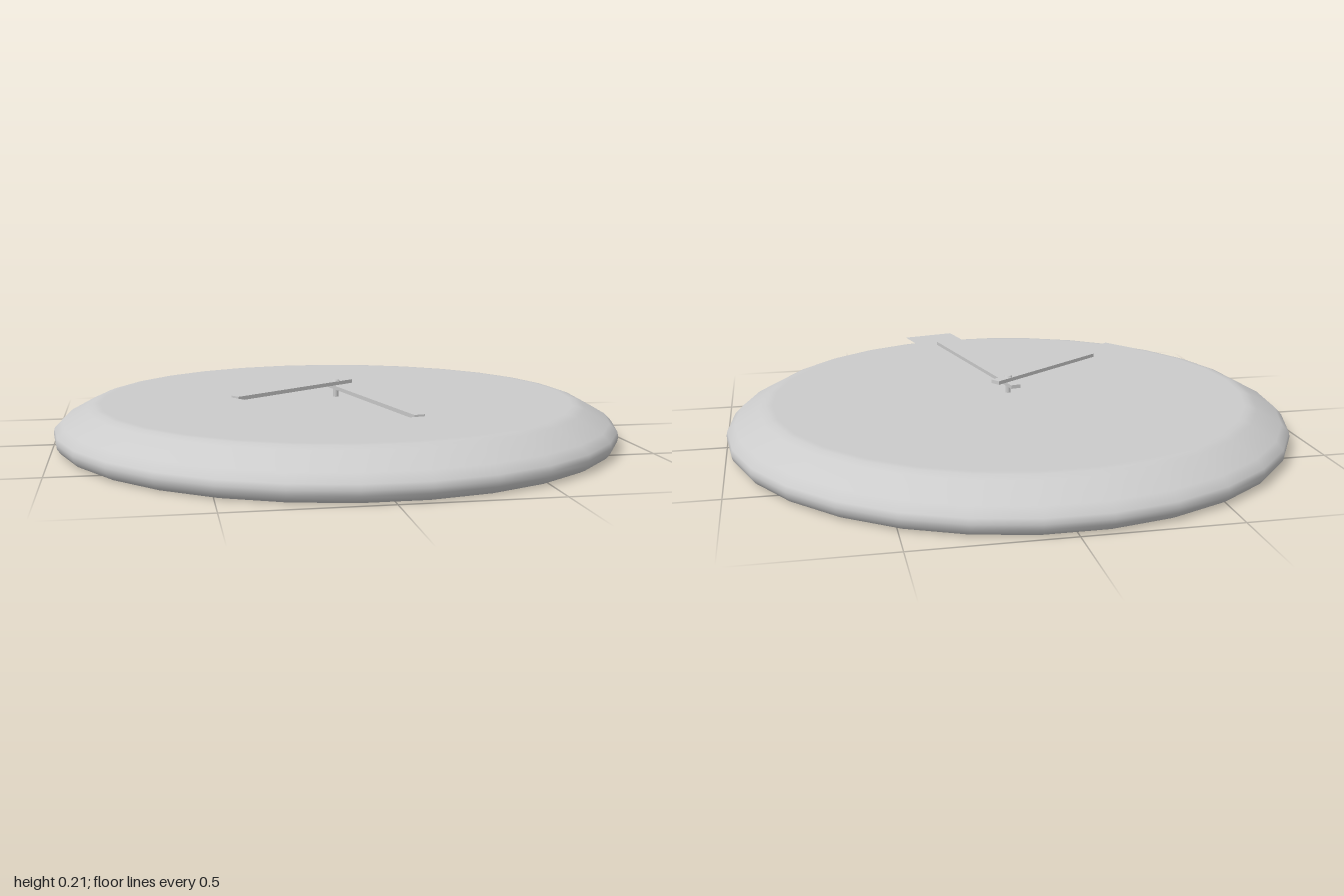
import * as THREE from 'three';

const grey = new THREE.MeshStandardMaterial({ color: 0xcccccc });
const thin = new THREE.MeshStandardMaterial({ color: 0xcccccc, side: THREE.DoubleSide });
const SIDES = 30;

function add(parent, name, geometry, material = grey) {
  const mesh = new THREE.Mesh(geometry, material);
  mesh.name = name;
  parent.add(mesh);
  return mesh;
}

// Straight bar with a flat rectangular paddle, pointing along local +z
function makeHand(name, { dirX, dirZ, y, reach, paddleWidth, paddleLength }) {
  const hand = new THREE.Group();
  hand.name = name;
  const tail = 0.068;
  const bar = add(hand, name + 'Bar', new THREE.BoxGeometry(0.036, 0.013, reach + tail));
  bar.position.z = (reach - tail) / 2;
  const paddle = add(hand, name + 'Paddle',
    new THREE.PlaneGeometry(paddleWidth, paddleLength).rotateX(-Math.PI / 2), thin);
  paddle.position.z = reach + paddleLength / 2;
  hand.position.y = y;
  hand.rotation.y = Math.atan2(dirX, dirZ);
  return hand;
}

export function createModel() {
  const clock = new THREE.Group();
  clock.name = 'clock';

  // Rounded rim and flat face turned as one smooth surface
  const profile = [
    [0.97, 0], [0.985, 0.008], [0.997, 0.025], [1, 0.042], [0.996, 0.06],
    [0.97, 0.087], [0.885, 0.133], [0.86, 0.142], [0.84, 0.143], [0, 0.143],
  ].map(([r, y]) => new THREE.Vector2(r, y));
  add(clock, 'body', new THREE.LatheGeometry(profile, SIDES, Math.PI / 2));

  // Flat back of the body
  add(clock, 'backPlate', new THREE.CircleGeometry(0.97, SIDES).rotateX(Math.PI / 2));

  // Centre pin with a small cap
  const pin = add(clock, 'pin', new THREE.CylinderGeometry(0.01, 0.01, 0.062, 12));
  pin.position.y = 0.174;
  const cap = add(clock, 'pinCap', new THREE.CylinderGeometry(0.012, 0.015, 0.006, 12));
  cap.position.y = 0.203;

  // Hands, the short one above the long one
  clock.add(makeHand('hourHand', {
    dirX: -0.807, dirZ: 0.59, y: 0.194, reach: 0.481, paddleWidth: 0.15, paddleLength: 0.2,
  }));
  clock.add(makeHand('minuteHand', {
    dirX: 0.221, dirZ: 0.975, y: 0.181, reach: 0.668, paddleWidth: 0.2, paddleLength: 0.148,
  }));
  return clock;
}
